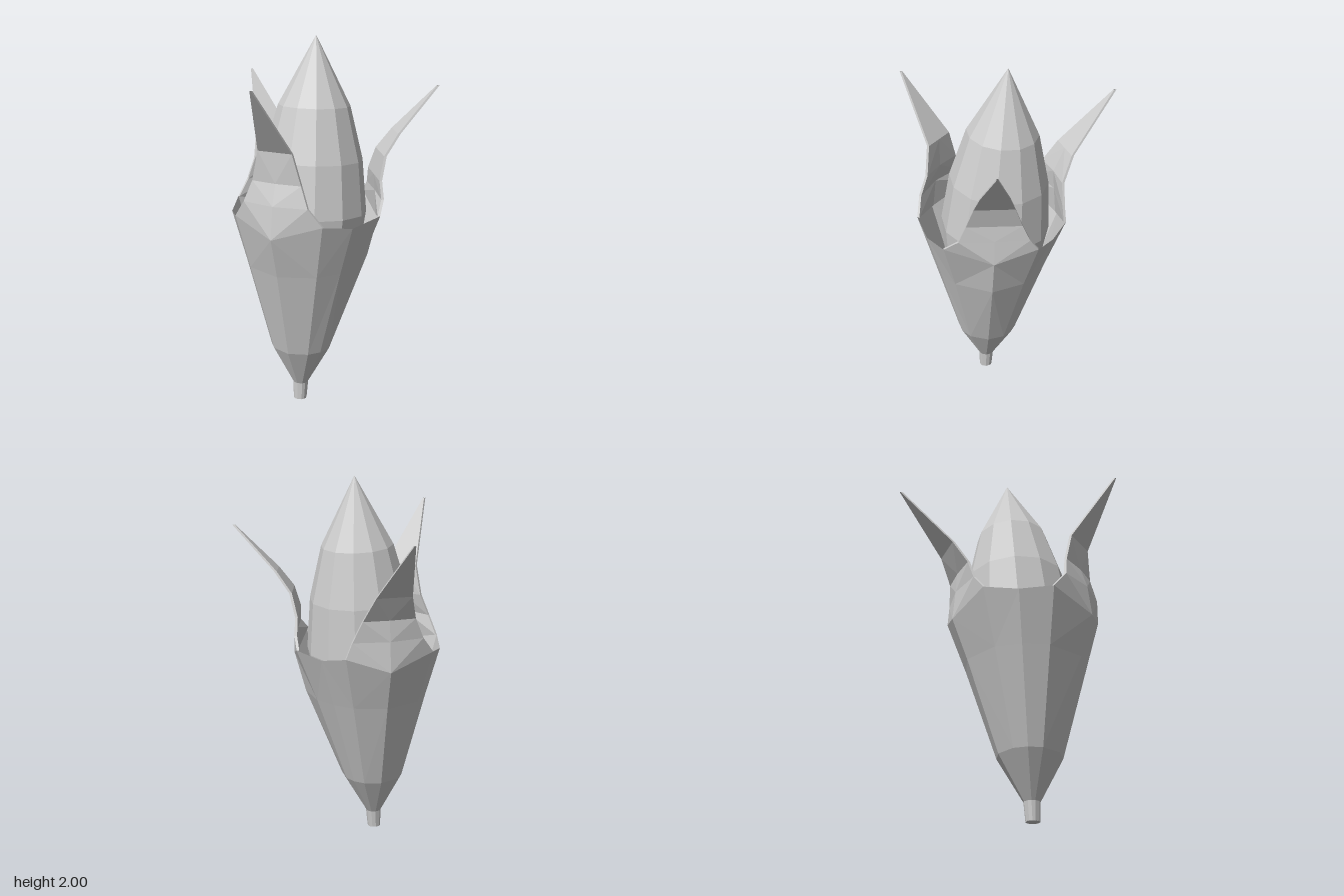
import * as THREE from 'three';

const DEG = Math.PI / 180;
const THICK = 0.014;
const grey = new THREE.MeshStandardMaterial({ color: 0xcccccc, flatShading: true, side: THREE.DoubleSide });
grey.name = 'plain grey';

// The husk leans slightly: its centre line at height y
const centre = (y) => [-0.2 + 0.04 * y, 0.1 - 0.04 * y];

// Closed lower husk: [height, radius]
const bodyRings = [[0, 0.036], [0.1, 0.042], [0.33, 0.168], [0.82, 0.312]];
const SEAM_RADIUS = 0.395;

// Leaves: from/to are the seam angles, mid and corner are rim radii, bulge swells the middle,
// rows of the free blade are [height, distance out, half width, edge curl]
const leaves = [
  { name: 'leftLeaf', dir: -9.7, from: -63.4, to: 52.7, mid: 0.395, corner: 0.432, bulge: 0.033, rows: [
    [1.18, 0.385, 0.185, 0.005], [1.27, 0.378, 0.145, 0], [1.39, 0.41, 0.105, 0], [1.5, 0.49, 0.075, 0],
    [1.735, 0.712, 0.004, 0]] },
  { name: 'frontLeaf', dir: 115, from: 52.7, to: 179, mid: 0.4, corner: 0.405, bulge: 0.01, rows: [
    [1.21, 0.38, 0.18, 0.03], [1.32, 0.345, 0.137, 0.012], [1.48, 0.345, 0.095, 0],
    [1.82, 0.57, 0.004, 0]] },
  { name: 'backLeaf', dir: 243, from: 179, to: 296.6, mid: 0.4, corner: 0.415, bulge: 0.01, rows: [
    [1.2, 0.385, 0.19, 0.03], [1.31, 0.378, 0.14, 0.008], [1.44, 0.44, 0.095, 0],
    [1.74, 0.712, 0.004, 0]] },
];

// Join rows of points into a faceted sheet
function sheet(rows) {
  const cols = rows[0].length;
  const index = [];
  for (let r = 0; r < rows.length - 1; r++) {
    for (let c = 0; c < cols - 1; c++) {
      const a = r * cols + c, b = a + 1, d = a + cols, e = d + 1;
      if (c % 2) index.push(a, d, e, a, e, b);
      else index.push(a, d, b, b, d, e);
    }
  }
  const geo = new THREE.BufferGeometry();
  geo.setAttribute('position', new THREE.Float32BufferAttribute(rows.flat(2), 3));
  geo.setIndex(index);
  const flat = geo.toNonIndexed();
  flat.computeVertexNormals();
  return flat;
}

function part(name, geometry) {
  const mesh = new THREE.Mesh(geometry, grey);
  mesh.name = name;
  return mesh;
}

function makeLeaf({ name, dir, from, to, mid, corner, bulge, rows }) {
  const polar = (y, r, f) => {
    const [cx, cz] = centre(y);
    const a = (f < 0 ? dir + f * (dir - from) : dir + f * (to - dir)) * DEG;
    return [cx + r * Math.cos(a), y, cz + r * Math.sin(a)];
  };

  // A third of the lower husk, from stem to rim
  const steps = [-1, -0.6, 0, 0.6, 1];
  const body = bodyRings.map(([y, r], i) =>
    steps.map((f) => polar(y, r + (i === 3 ? bulge * (1 - Math.abs(f)) : 0), f)));
  const rimRadius = [SEAM_RADIUS, corner, mid, corner, SEAM_RADIUS];
  const rimHeight = [1.085, 1.115, 1.04, 1.115, 1.085];
  const rim = steps.map((f, i) => polar(rimHeight[i], rimRadius[i], f));
  body.push(rim);

  // Free blade, bending outward to its tip
  const [cx, cz] = centre(1.09);
  const c = Math.cos(dir * DEG), s = Math.sin(dir * DEG);
  const blade = [rim.slice(1, 4)];
  for (const [y, out, half, curl] of rows) {
    blade.push([-1, 0, 1].map((f) => {
      const d = out - curl * f * f, w = half * f;
      return [cx + d * c - w * s, y, cz + d * s + w * c];
    }));
  }
  // each row becomes a closed loop: outer face, then inner face
  const loops = blade.map((row) => {
    const inner = row.map(([x, y, z]) => [x - THICK * c, y, z - THICK * s]).reverse();
    return [...row, ...inner, row[0]];
  });

  const leaf = new THREE.Group();
  leaf.name = name;
  leaf.add(part(name + 'Base', sheet(body)), part(name + 'Blade', sheet(loops)));
  return leaf;
}

export function createModel() {
  const model = new THREE.Group();
  model.name = 'huskedCob';

  const husk = new THREE.Group();
  husk.name = 'husk';
  leaves.forEach((leaf) => husk.add(makeLeaf(leaf)));
  model.add(husk);

  // Cut end of the stem
  const stemEnd = part('stemEnd', new THREE.CircleGeometry(0.036, 12));
  stemEnd.rotation.x = Math.PI / 2;
  stemEnd.position.set(-0.2, 0.001, 0.1);
  model.add(stemEnd);

  // Cob, turned around an axis that hangs from its tip
  const profile = [[0, -1.45], [0.18, -1.4], [0.265, -1.15], [0.295, -0.92], [0.265, -0.64], [0.19, -0.36], [0, 0]]
    .map(([r, y]) => new THREE.Vector2(r, y));
  const cob = part('cob', new THREE.LatheGeometry(profile, 12, 0.07));
  cob.position.set(-0.1, 2, -0.04);
  cob.quaternion.setFromUnitVectors(
    new THREE.Vector3(0, 1, 0), new THREE.Vector3(0.03, 0.9, -0.07).normalize());
  model.add(cob);

  return model;
}
